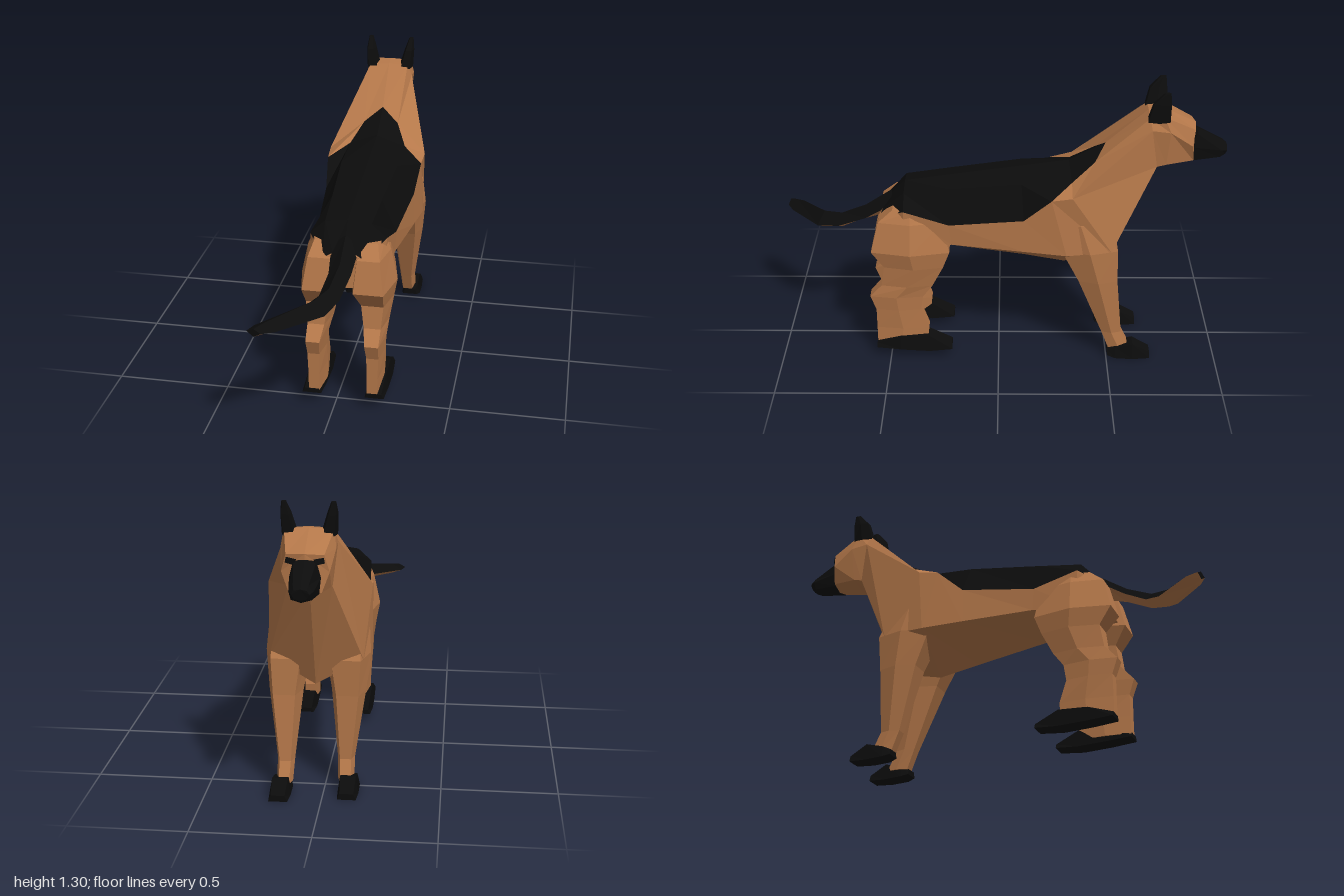
import * as THREE from 'three';

const tan = new THREE.MeshStandardMaterial({ color: 0xb5784a, flatShading: true, side: THREE.DoubleSide });
const black = new THREE.MeshStandardMaterial({ color: 0x0c0c0c, flatShading: true, side: THREE.DoubleSide });

// Skin over rings of [x, y, z] points; pick(i, j) chooses which quads to keep.
function skin(name, rings, material, { pick = () => true, caps = true } = {}) {
  const pos = [];
  const tri = (a, b, c) => pos.push(...a, ...b, ...c);
  const n = rings[0].length;
  for (let i = 0; i < rings.length - 1; i++) {
    for (let j = 0; j < n; j++) {
      if (!pick(i, j)) continue;
      const k = (j + 1) % n;
      const [a, b, c, d] = [rings[i][j], rings[i][k], rings[i + 1][k], rings[i + 1][j]];
      tri(a, b, c);
      tri(a, c, d);
    }
  }
  if (caps) {
    const first = rings[0], last = rings[rings.length - 1];
    for (let j = 1; j < n - 1; j++) {
      tri(first[0], first[j + 1], first[j]);
      tri(last[0], last[j], last[j + 1]);
    }
  }
  const geo = new THREE.BufferGeometry();
  geo.setAttribute('position', new THREE.Float32BufferAttribute(pos, 3));
  geo.computeVertexNormals();
  const mesh = new THREE.Mesh(geo, material);
  mesh.name = name;
  return mesh;
}

// Complete a half ring (top centre to bottom centre) with its mirror image.
const mirrorRing = (half) => [...half, ...half.slice(1, -1).reverse().map(([x, y, z]) => [-x, y, z])];

// Put rings on the left (s = 1) or right (s = -1), keeping the winding.
const onSide = (rings, s) => rings.map((r) => (s > 0 ? r : r.map(([x, y, z]) => [-x, y, z]).reverse()));

// Six-sided horizontal leg section.
function legRing([y, x0, x1, z0, z1]) {
  const c = (x1 - x0) * 0.18, m = (z0 + z1) / 2;
  return [[x1 - c, y, z0], [x1, y, m], [x1 - c, y, z1], [x0 + c, y, z1], [x0, y, m], [x0 + c, y, z0]];
}

// Four-cornered upright paw section.
const pawRing = (cx) => ([z, top, bottom, w]) =>
  [[cx + w * 0.75, top, z], [cx + w, bottom, z], [cx - w, bottom, z], [cx - w * 0.75, top, z]];

export function createModel() {
  const dog = new THREE.Group();
  dog.name = 'dog';

  // Trunk, neck and head, from rump to face
  const body = [
    [[0, 0.73, 0.52], [0.05, 0.72, 0.52], [0.09, 0.70, 0.53], [0.09, 0.58, 0.54], [0, 0.57, 0.54]],
    [[0, 0.835, 0.42], [0.10, 0.82, 0.42], [0.165, 0.76, 0.42], [0.16, 0.58, 0.42], [0, 0.55, 0.42]],
    [[0, 0.865, 0.22], [0.11, 0.845, 0.22], [0.175, 0.70, 0.22], [0.17, 0.60, 0.21], [0, 0.51, 0.21]],
    [[0, 0.91, -0.1], [0.13, 0.88, -0.1], [0.205, 0.74, -0.11], [0.205, 0.585, -0.11], [0, 0.455, -0.11]],
    [[0, 0.94, -0.31], [0.13, 0.89, -0.32], [0.22, 0.845, -0.23], [0.225, 0.575, -0.3], [0, 0.42, -0.3]],
    [[0, 1.025, -0.47], [0.08, 0.965, -0.42], [0.225, 0.86, -0.32], [0.2, 0.58, -0.5], [0, 0.47, -0.52]],
    [[0, 1.185, -0.65], [0.09, 1.18, -0.65], [0.11, 1.13, -0.66], [0.09, 0.95, -0.69], [0, 0.935, -0.70]],
    [[0, 1.195, -0.71], [0.10, 1.19, -0.71], [0.11, 1.12, -0.74], [0.09, 0.96, -0.73], [0, 0.935, -0.73]],
    [[0, 1.125, -0.86], [0.075, 1.12, -0.85], [0.095, 1.05, -0.84], [0.065, 0.97, -0.85], [0, 0.955, -0.86]],
  ].map(mirrorRing);
  const isSaddle = (i, j) => {
    const col = Math.min(j, 7 - j);
    return (col < 2 && i < 4) || (col === 0 && i === 4);
  };
  dog.add(skin('body', body, tan, { pick: (i, j) => !isSaddle(i, j) }));
  dog.add(skin('saddle', body, black, { pick: isSaddle, caps: false }));

  // Muzzle
  const muzzle = [
    [[0, 1.105, -0.855], [0.045, 1.095, -0.855], [0.062, 1.03, -0.85], [0.055, 0.965, -0.85], [0, 0.95, -0.855]],
    [[0, 1.04, -0.98], [0.03, 1.035, -0.98], [0.048, 1.01, -0.975], [0.04, 0.975, -0.97], [0, 0.965, -0.975]],
    [[0, 1.025, -1], [0.025, 1.02, -1], [0.035, 1.005, -1], [0.025, 0.985, -0.995], [0, 0.98, -0.995]],
  ].map(mirrorRing);
  dog.add(skin('muzzle', muzzle, black));

  for (const s of [1, -1]) {
    const side = s > 0 ? 'left' : 'right';

    // Eyes
    const eye = new THREE.Mesh(new THREE.BoxGeometry(0.038, 0.022, 0.02), black);
    eye.position.set(s * 0.055, 1.095, -0.851);
    eye.rotation.set(0.15, -s * 0.3, s * 0.2);
    eye.name = side + 'Eye';
    dog.add(eye);

    // Ears, tip to base
    const ear = [
      [1.3, 0.088, 0.108, -0.73, -0.705],
      [1.25, 0.07, 0.115, -0.735, -0.66],
      [1.165, 0.045, 0.112, -0.735, -0.64],
    ].map(legRing);
    dog.add(skin(side + 'Ear', onSide(ear, s), black));

    // Front legs; the right one stands slightly further back
    const back = s > 0 ? 0 : 0.045;
    const front = [
      [0.72, 0.06, 0.215, -0.46, -0.26, 0],
      [0.58, 0.03, 0.225, -0.53, -0.28, 0],
      [0.42, 0.06, 0.208, -0.535, -0.36, 0.3],
      [0.13, 0.09, 0.165, -0.565, -0.475, 1],
      [0.04, 0.095, 0.165, -0.61, -0.51, 1],
    ].map(([y, x0, x1, z0, z1, t]) => legRing([y, x0, x1, z0 + back * t, z1 + back * t]));
    dog.add(skin(side + 'FrontLeg', onSide(front, s), tan));
    const frontPaw = [
      [-0.505, 0.04, 0.015, 0.035],
      [-0.54, 0.055, 0.005, 0.045],
      [-0.62, 0.075, 0, 0.045],
      [-0.70, 0.03, 0.003, 0.04],
    ].map(([z, ...rest]) => pawRing(0.143)([z + back, ...rest]));
    dog.add(skin(side + 'FrontPaw', onSide(frontPaw, s), black));

    // Hind legs
    const hind = [
      [0.755, 0.05, 0.155, 0.31, 0.47],
      [0.70, 0.03, 0.18, 0.25, 0.535],
      [0.56, 0.01, 0.21, 0.22, 0.57],
      [0.48, 0.045, 0.195, 0.25, 0.515],
      [0.38, 0.065, 0.18, 0.3, 0.53],
      [0.32, 0.08, 0.175, 0.345, 0.585],
      [0.25, 0.088, 0.17, 0.355, 0.56],
      [0.15, 0.09, 0.165, 0.32, 0.56],
      [0.07, 0.09, 0.165, 0.33, 0.56],
    ].map(legRing);
    dog.add(skin(side + 'HindLeg', onSide(hind, s), tan));
    const hindPaw = [
      [0.562, 0.075, 0.055, 0.042],
      [0.45, 0.11, 0.045, 0.045],
      [0.32, 0.115, 0.038, 0.046],
      [0.215, 0.065, 0.045, 0.04],
    ].map(pawRing(0.138));
    dog.add(skin(side + 'HindPaw', onSide(hindPaw, s), black));
  }

  // Tail: [right x, right z, left x, left z, edge y, top y, bottom y]
  const tail = [
    [-0.06, 0.48, 0.06, 0.48, 0.74, 0.79, 0.68],
    [-0.05, 0.60, 0.045, 0.60, 0.665, 0.71, 0.645],
    [-0.07, 0.70, 0.02, 0.73, 0.61, 0.655, 0.585],
    [-0.12, 0.77, -0.02, 0.83, 0.59, 0.64, 0.558],
    [-0.285, 0.93, -0.19, 0.97, 0.578, 0.605, 0.556],
    [-0.303, 0.982, -0.24, 0.998, 0.58, 0.595, 0.56],
  ].map(([xr, zr, xl, zl, edge, top, bottom]) => {
    const xm = (xl + xr) / 2, zm = (zl + zr) / 2;
    return [[xl, edge, zl], [xm, top, zm], [xr, edge, zr], [xm, bottom, zm]];
  });
  dog.add(skin('tailTop', tail, black, { pick: (i, j) => j < 2 }));
  dog.add(skin('tailUnderside', tail, tan, { pick: (i, j) => j > 1, caps: false }));

  // The curled tail puts the trunk off centre
  dog.position.x = 0.038;
  const model = new THREE.Group();
  model.name = 'model';
  model.add(dog);
  return model;
}
